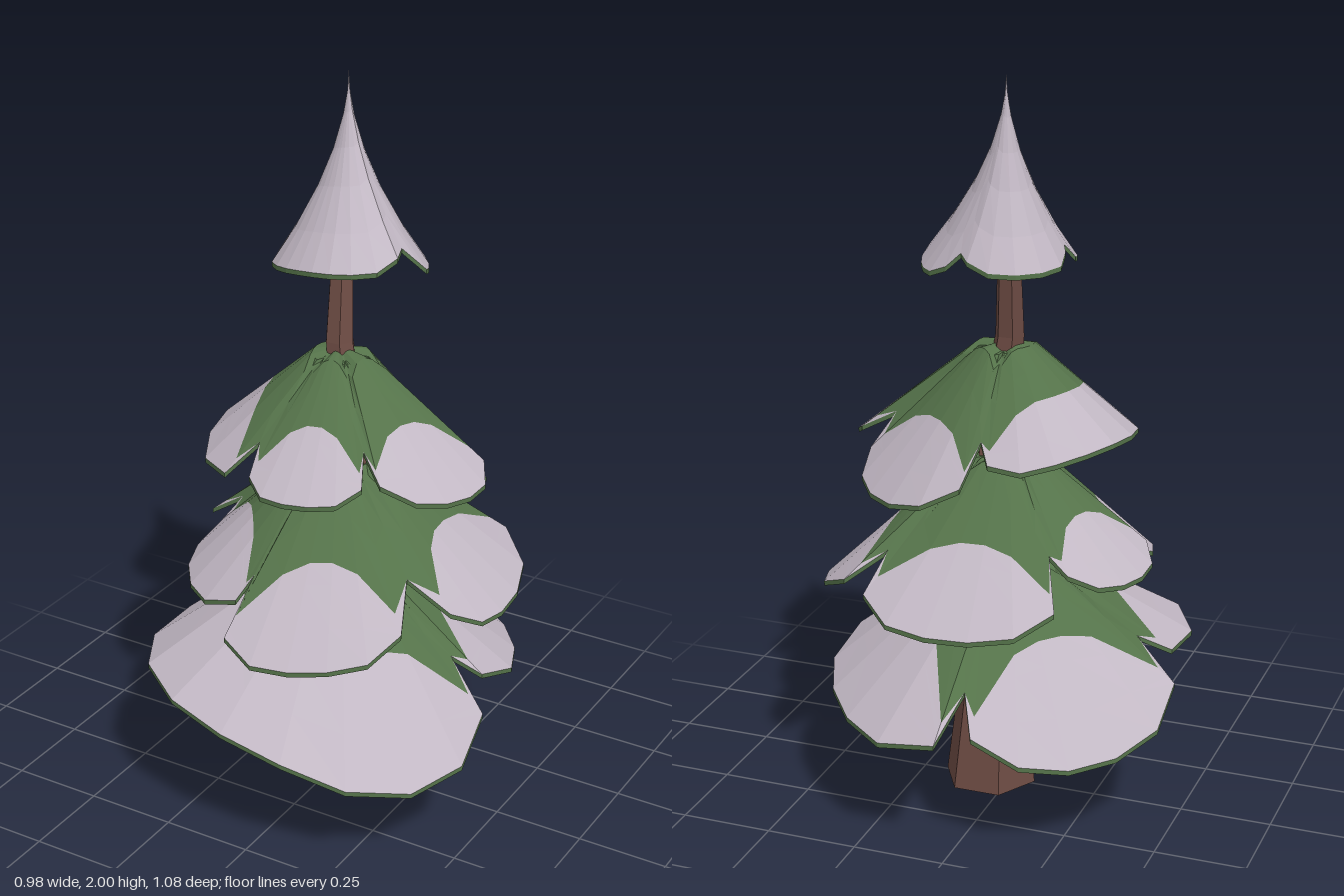
import * as THREE from 'three';

const bark = new THREE.MeshStandardMaterial({ color: 0x6e4c44, flatShading: true });
const needles = new THREE.MeshStandardMaterial({ color: 0x55734a, flatShading: true, side: THREE.DoubleSide });
const snow = new THREE.MeshStandardMaterial({ color: 0xc2b8c4, flatShading: true });

// Drop from apex to rim: rounded cap then straight slope, or a flared spire
const slope = t => (t < 0.2 ? 0.2 * t : 0.04 + (t - 0.2) * 1.2);
const spire = t => Math.pow(t, 0.55);

// Non-indexed mesh from quads, leaving out collapsed triangles
function quadMesh(name, quads, material) {
  const pos = [];
  const tri = new THREE.Triangle();
  for (const [a, b, c, d] of quads) {
    for (const [p, q, r] of [[a, b, c], [a, c, d]]) {
      if (tri.set(p, q, r).getArea() < 1e-7) continue;
      for (const v of [p, q, r]) pos.push(v.x, v.y, v.z);
    }
  }
  const geo = new THREE.BufferGeometry();
  geo.setAttribute('position', new THREE.Float32BufferAttribute(pos, 3));
  geo.computeVertexNormals();
  const mesh = new THREE.Mesh(geo, material);
  mesh.name = name;
  return mesh;
}

// One tier of branches. A lobe is a rim curve through [degrees from front, radius, height]
function makeTier(name, apex, fall, snowStart, notch, lobes) {
  const along = (rim, t) => new THREE.Vector3(
    apex.x + (rim.x - apex.x) * t,
    apex.y + (rim.y - apex.y) * fall(t),
    apex.z + (rim.z - apex.z) * t);

  // Rim of a lobe, with its two corners pulled in to round it
  const rims = lobes.map(lobe => {
    const curve = new THREE.CatmullRomCurve3(lobe.map(p => new THREE.Vector3(...p)), false, 'catmullrom');
    const span = lobe[lobe.length - 1][0] - lobe[0][0];
    const segments = Math.max(5, Math.round(span / 18));
    return Array.from({ length: segments + 1 }, (_, k) => {
      const p = curve.getPoint(k / segments);
      const a = THREE.MathUtils.degToRad(p.x);
      const rim = new THREE.Vector3(Math.sin(a) * p.y, p.z, Math.cos(a) * p.y);
      return k % segments === 0 ? along(rim, 0.93) : rim;
    });
  });

  // Closed outline: lobe rims with a notch cut between neighbours
  const columns = [];
  rims.forEach((rim, i) => {
    rim.forEach((p, k) => {
      const fromEnd = Math.min(k, rim.length - 1 - k);
      const bare = fromEnd === 0 ? 0.9 : fromEnd === 1 ? snowStart + 0.06 : snowStart;
      columns.push({ rim: p, start: snowStart && bare });
    });
    const middle = rim[rim.length - 1].clone().lerp(rims[(i + 1) % rims.length][0], 0.5);
    columns.push({ rim: along(middle, notch), start: snowStart && 1 });
  });

  // Strips between neighbouring columns; rowsOf gives the steps down a column
  const sheet = rowsOf => columns.flatMap((col, i) => {
    const next = columns[(i + 1) % columns.length];
    const p = rowsOf(col).map(t => along(col.rim, t));
    const q = rowsOf(next).map(t => along(next.rim, t));
    return p.slice(1).map((v, k) => [p[k], v, q[k + 1], q[k]]);
  });
  const lower = v => v.clone().setY(v.y - 0.013);
  const steps = snowStart ? [0, 0.2, 0.6, 1] : [0, 0.02, 0.07, 0.2, 0.4, 0.7, 1];

  const green = sheet(c => [0, 0.35, 0.65, 1].map(f => f * c.start));
  const under = sheet(() => steps).map(q => q.map(lower).reverse());
  const edge = columns.map((c, i) => {
    const n = columns[(i + 1) % columns.length];
    return [c.rim, lower(c.rim), lower(n.rim), n.rim];
  });
  const white = sheet(c => steps.map(f => c.start + (1 - c.start) * f));

  const group = new THREE.Group();
  group.name = name;
  group.add(quadMesh('needles', [...green, ...edge, ...under], needles));
  group.add(quadMesh('snow', white, snow));
  return group;
}

// Bent, tapering six-sided trunk: sections are x, y, z, radius
function makeTrunk() {
  const sections = [[.058, 0, .012, .13], [.045, .4, .012, .09], [.05, .7, -.015, .07],
    [.035, 1, 0, .056], [-.005, 1.3, -.005, .04], [-.02, 1.66, -.055, .027]];
  const rings = sections.map(([x, y, z, r]) => Array.from({ length: 6 }, (_, i) => {
    const a = (i / 6) * Math.PI * 2 + Math.PI / 2;
    return new THREE.Vector3(x + Math.sin(a) * r, y, z + Math.cos(a) * r);
  }));
  const quads = [];
  for (let k = 0; k + 1 < rings.length; k++) {
    for (let i = 0; i < 6; i++) {
      const j = (i + 1) % 6;
      quads.push([rings[k][i], rings[k][j], rings[k + 1][j], rings[k + 1][i]]);
    }
  }
  // Base cap
  const b = rings[0];
  quads.push([b[3], b[2], b[1], b[0]], [b[0], b[5], b[4], b[3]]);
  return quadMesh('trunk', quads, bark);
}

export function createModel() {
  const tree = new THREE.Group();
  tree.name = 'snowyPineTree';
  tree.add(makeTrunk());

  tree.add(makeTier('lowerBranches', new THREE.Vector3(0, 0.7, 0), slope, 0.5, 0.78, [
    [[-78, .48, .40], [-37, .55, .42], [5, .55, .36], [45, .57, .25], [84, .51, .30]],
    [[91, .47, .39], [135, .5, .335], [179, .57, .32]],
    [[188, .5, .32], [226, .5, .27], [266, .52, .36]],
  ]));
  tree.add(makeTier('middleBranches', new THREE.Vector3(0, 0.995, 0), slope, 0.58, 0.78, [
    [[-78, .37, .69], [-47, .42, .655], [-14, .42, .65]],
    [[-10, .5, .575], [20, .475, .57], [52, .46, .61]],
    [[74, .45, .62], [100, .485, .61], [135, .51, .66]],
    [[142, .48, .63], [178, .43, .6], [218, .41, .63]],
    [[228, .35, .71], [255, .4, .695], [281, .4, .72]],
  ]));
  tree.add(makeTier('upperBranches', new THREE.Vector3(0, 1.285, 0), slope, 0.57, 0.78, [
    [[-172, .28, 1], [-100, .315, 1.05], [-26, .385, .985]],
    [[-13, .365, 1], [13, .385, 1], [39, .39, 1.02]],
    [[46, .4, 1.03], [75, .435, .985], [100, .43, .995]],
    [[103, .4, .94], [135, .375, .895], [176, .33, .94]],
  ]));
  tree.add(makeTier('treetop', new THREE.Vector3(-.025, 2, -.085), spire, 0, 0.9, [
    [[-84, .19, 1.5], [-8, .145, 1.535], [79, .205, 1.555]],
    [[103, .22, 1.52], [124, .23, 1.5], [155, .24, 1.505]],
    [[173, .245, 1.53], [212, .25, 1.525], [255, .19, 1.53]],
  ]));
  return tree;
}
